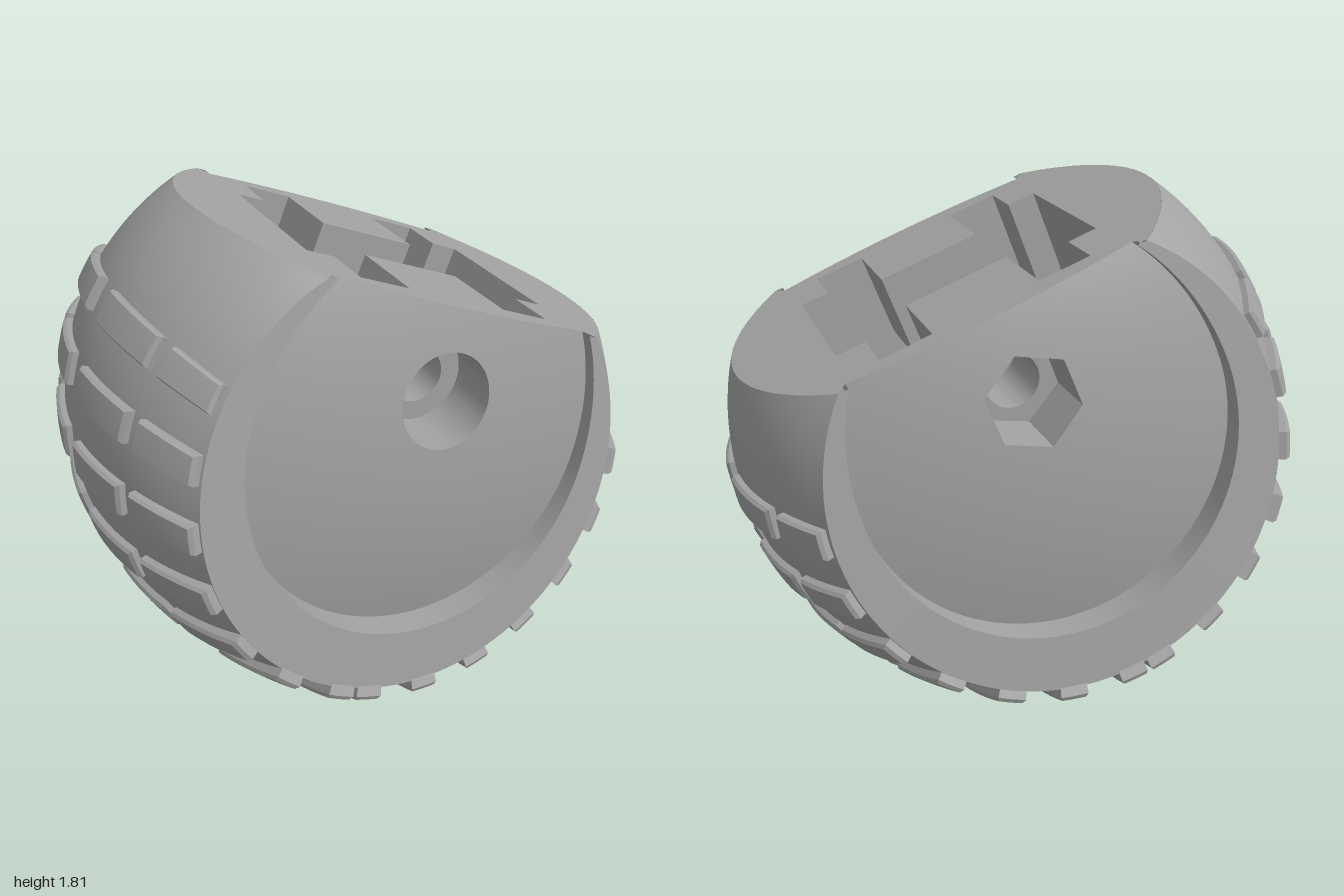
import * as THREE from 'three';
import { mergeGeometries, toCreasedNormals } from 'three/addons/utils/BufferGeometryUtils.js';
import { ParametricGeometry } from 'three/addons/geometries/ParametricGeometry.js';

// Local frame: the flat cut lies at y = CUT, the axle runs along z.
const CUT = 0.555, AXLE = 0.255, TILT = -0.373;
const HUB_R = 0.163, HOLE_R = 0.095;
const RECESS = { y: 0.08, r: 0.65, top: 0.75 };

const lerp = THREE.MathUtils.lerp;
const halfWidth = (y) => 0.658 - 0.132 * y;         // sides taper towards the cut
const radius = (k) => 0.972 - 0.2 * k * k;          // barrel profile, k = -1..1 across the width
const floorZ = (x, y) => 0.66 - 0.07 * (y - RECESS.y) - 0.18 * (x * x + (y - RECESS.y) ** 2);

export function createModel() {
  const grey = new THREE.MeshStandardMaterial({ color: 0xa2a2a2, side: THREE.DoubleSide });
  grey.name = 'grey';
  const model = new THREE.Group();
  model.name = 'treadedBarrel';
  const body = new THREE.Group();
  body.name = 'body';
  body.position.y = 1.003;
  body.rotation.z = TILT;
  model.add(body);

  const add = (name, geometry) => {
    const mesh = new THREE.Mesh(geometry, grey);
    mesh.name = name;
    body.add(mesh);
  };
  // Surface from a rule f(t, s) -> [x, y, z]
  const sheet = (name, f, nt, ns, flip = false) => {
    const g = new ParametricGeometry((t, s, p) => p.set(...f(flip ? 1 - t : t, s)), nt, ns);
    add(name, toCreasedNormals(g, 0.5));
  };
  // Straight surface between two curves
  const loft = (name, a, b, nt, flip) =>
    sheet(name, (t, s) => {
      const p = a(t), q = b(t);
      return p.map((v, i) => lerp(v, q[i], s));
    }, nt, 1, flip);

  // Arc around the barrel, from the left end of the cut to the right end
  const barrelPoint = (t, k) => {
    const r = radius(k), end = Math.asin(CUT / r);
    const a = lerp(-Math.PI - end, end, t);
    const x = r * Math.cos(a), y = r * Math.sin(a);
    return [x, y, k * halfWidth(y)];
  };
  sheet('treadSurface', (t, s) => barrelPoint(t, 2 * s - 1), 120, 24);

  // Outline of the side recess
  const recessEnd = Math.asin((CUT - RECESS.y) / RECESS.top);
  const recessPoint = (t) => {
    const a = lerp(-Math.PI - recessEnd, recessEnd, t), s = Math.sin(a);
    return [RECESS.r * Math.cos(a), RECESS.y + (s > 0 ? RECESS.top : RECESS.r) * s];
  };
  const recessX = recessPoint(1)[0];
  // Recess outline closed along the cut
  const floorEdge = (t) =>
    t <= 0.8 ? recessPoint(t / 0.8) : [lerp(recessX, -recessX, (t - 0.8) / 0.2), CUT];
  const aroundAxle = (t, r) => {
    const [x, y] = floorEdge(t), a = Math.atan2(y - AXLE, x);
    const d = typeof r === 'function' ? r(a) : r;
    return [d * Math.cos(a), AXLE + d * Math.sin(a)];
  };
  const hexRadius = (a) => {
    const sector = Math.PI / 3, m = (((a - Math.PI / 6) % sector) + sector) % sector;
    return HUB_R * Math.cos(sector / 2) / Math.cos(m - sector / 2);
  };

  // U outline around the axle, open at the cut
  const uPoint = (r, t) => {
    if (t < 0.2) return [r, lerp(CUT, AXLE, t / 0.2)];
    if (t > 0.8) return [-r, lerp(AXLE, CUT, (t - 0.8) / 0.2)];
    const a = -Math.PI * (t - 0.2) / 0.6;
    return [r * Math.cos(a), AXLE + r * Math.sin(a)];
  };
  const uAt = (r, z) => (t) => [...uPoint(r, t), z];
  loft('pocketChannel', uAt(0.48, -0.3), uAt(0.48, 0.3), 60);

  for (const side of [1, -1]) {
    const flip = side < 0, end = flip ? 'back' : 'front';
    const hub = flip ? hexRadius : HUB_R;

    // Sidewall rim, recess step and domed floor
    const rimInner = (t) => {
      const [x, y] = recessPoint(t);
      return [x, y, side * halfWidth(y)];
    };
    const stepBottom = (t) => {
      const [x, y] = recessPoint(t);
      return [x, y, side * floorZ(x, y)];
    };
    loft(end + 'Rim', (t) => barrelPoint(t, side), rimInner, 120, flip);
    loft(end + 'RecessStep', rimInner, stepBottom, 120, flip);
    sheet(end + 'RecessFloor', (t, s) => {
      const a = floorEdge(t), b = aroundAxle(t, hub);
      const x = lerp(a[0], b[0], s), y = lerp(a[1], b[1], s);
      return [x, y, side * floorZ(x, y)];
    }, 150, 10, flip);

    // Round or hexagonal hub socket, then the axle bore
    const socketTop = (t) => {
      const [x, y] = aroundAxle(t, hub);
      return [x, y, side * floorZ(x, y)];
    };
    const ring = (r, z) => (t) => [...aroundAxle(t, r), side * z];
    loft(end + 'HubSocket', socketTop, ring(hub, 0.43), 150, flip);
    loft(end + 'SocketFloor', ring(hub, 0.43), ring(HOLE_R, 0.43), 150, flip);
    loft(end + 'AxleBore', ring(HOLE_R, 0.43), ring(HOLE_R, 0.17), 150, flip);

    // Narrower pocket step and the axle boss standing in it
    const [z0, z1] = flip ? [-0.49, -0.3] : [0.3, 0.49];
    loft(end + 'PocketStep', uAt(0.375, z0), uAt(0.375, z1), 60);
    loft(end + 'PocketShoulder', uAt(0.48, side * 0.3), uAt(0.375, side * 0.3), 60, flip);
    loft(end + 'PocketEnd', uAt(0.375, side * 0.49), uAt(0.19, side * 0.49), 60, flip);
    const [b0, b1] = flip ? [-0.17, -0.49] : [0.49, 0.17];
    loft(end + 'AxleBoss', uAt(0.19, b0), uAt(0.19, b1), 60);
    const face = new THREE.Shape();
    face.moveTo(0.19, CUT).lineTo(0.19, AXLE);
    face.absarc(0, AXLE, 0.19, 0, -Math.PI, true).lineTo(-0.19, CUT);
    face.holes.push(new THREE.Path().absarc(0, AXLE, HOLE_R, 0, Math.PI * 2));
    const faceGeometry = new THREE.ShapeGeometry(face, 24);
    if (!flip) faceGeometry.rotateY(Math.PI);
    add(end + 'BossFace', faceGeometry.translate(0, 0, side * 0.17));
  }

  // Flat cut face with the stepped pocket opening
  const half = [];
  for (let i = 0; i <= 16; i++) {
    const k = 1 - i / 8;
    half.push([Math.sqrt(radius(k) ** 2 - CUT * CUT), k * halfWidth(CUT)]);
  }
  for (let i = 0; i <= 20; i++) {
    const x = lerp(recessX, -recessX, i / 20);
    half.push([x, -floorZ(x, CUT)]);
  }
  const bothHalves = (pts) => [...pts, ...pts.map(([x, y]) => [-x, -y])].map((p) => new THREE.Vector2(...p));
  const cut = new THREE.Shape(bothHalves(half));
  const opening = [[0.48, -0.3], [0.48, 0.3], [0.375, 0.3], [0.375, 0.49], [0.19, 0.49], [0.19, 0.17],
    [-0.19, 0.17], [-0.19, 0.49], [-0.375, 0.49], [-0.375, 0.3]];
  cut.holes.push(new THREE.Path(bothHalves(opening)));
  add('cutFace', new THREE.ShapeGeometry(cut).rotateX(-Math.PI / 2).translate(0, CUT, 0));

  // Raised tread pad with bevelled top, wrapped onto the barrel
  const pad = (angle, side, outer) => {
    const g = new THREE.BoxGeometry(1, 1, 1, 3, 2, 6), p = g.attributes.position;
    for (let i = 0; i < p.count; i++) {
      const top = p.getY(i) > 0.25;
      const h = top ? 0.031 : p.getY(i) < -0.25 ? -0.015 : 0.02;
      const a = angle - p.getX(i) * 0.122 * (top ? 0.86 : 1);
      const w = halfWidth(0.9 * Math.sin(a));
      const [za, zb] = outer ? [0.43, 0.985 * w] : [0.055, 0.38];
      const across = p.getZ(i) * (top ? 0.93 : 1) * side + 0.5;
      const z = side * lerp(za, zb, across), k = z / w;
      const r = radius(k) + h;
      p.setXYZ(i, r * Math.cos(a), r * Math.sin(a), z + 0.45 * k * h);
    }
    return toCreasedNormals(g, 0.4);
  };
  for (const turn of [1, -1]) {
    for (let row = 0; row < 7; row++) {
      const angle = THREE.MathUtils.degToRad(-90 + turn * (4 + 16 * row));
      const pads = [];
      for (const side of [1, -1]) pads.push(pad(angle, side, false), pad(angle, side, true));
      add((turn > 0 ? 'left' : 'right') + 'TreadRow' + (row + 1), mergeGeometries(pads));
    }
  }
  return model;
}
